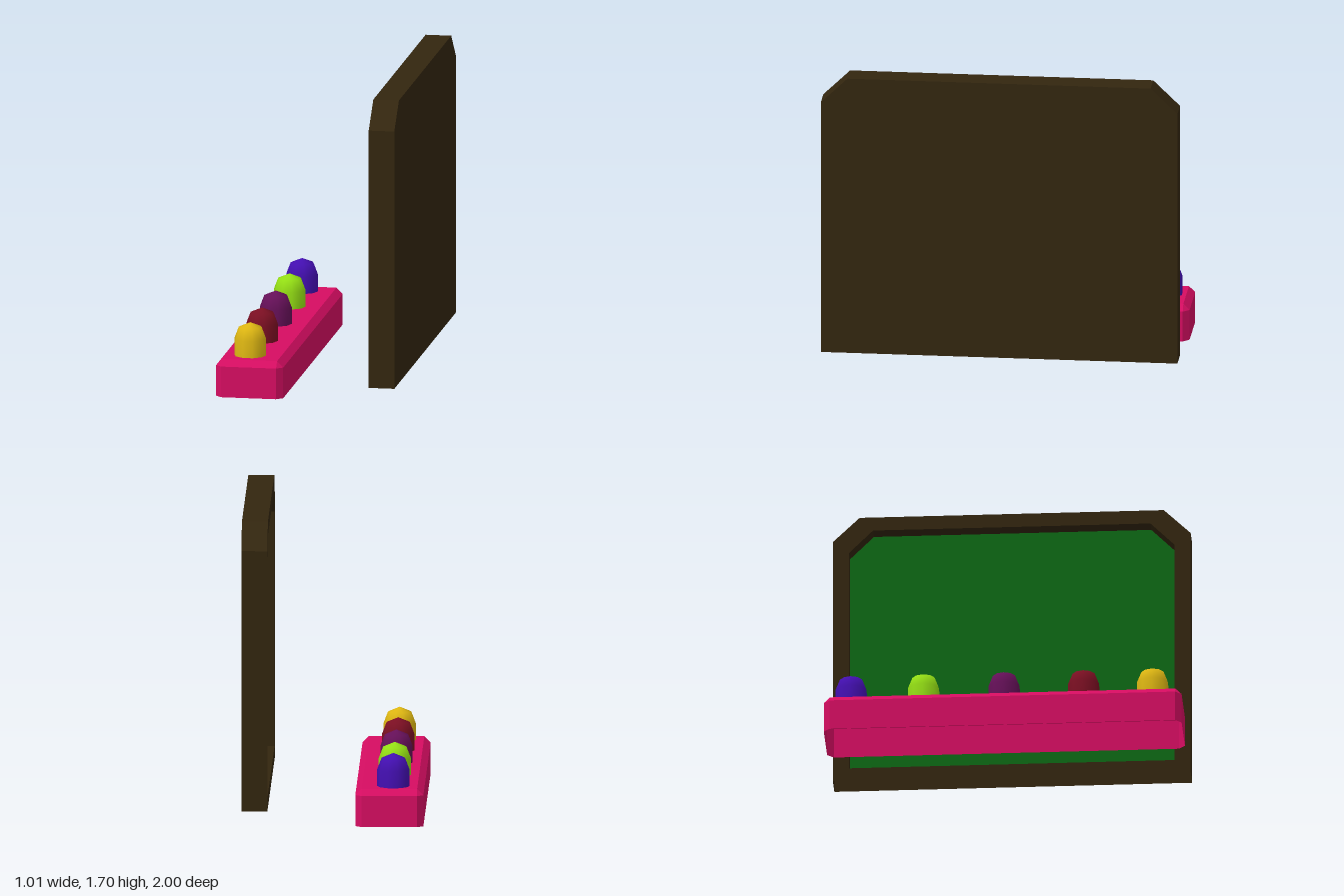
import * as THREE from 'three';

const material = (color, flatShading = true) =>
  new THREE.MeshStandardMaterial({ color, flatShading, side: THREE.DoubleSide });

// Surface from convex polygons (arrays of Vector3), each split as a fan
function surface(name, polygons, color) {
  const points = [];
  const triangle = new THREE.Triangle();
  for (const p of polygons) {
    for (let i = 1; i < p.length - 1; i++) {
      triangle.set(p[0], p[i], p[i + 1]);
      if (triangle.getArea() > 1e-8) points.push(p[0], p[i], p[i + 1]);
    }
  }
  const geometry = new THREE.BufferGeometry().setFromPoints(points);
  geometry.computeVertexNormals();
  const mesh = new THREE.Mesh(geometry, material(color));
  mesh.name = name;
  return mesh;
}

// Band of quads between two closed loops, starting at edge `from`
function band(a, b, from = 0) {
  const quads = [];
  for (let i = from; i < a.length; i++) {
    const j = (i + 1) % a.length;
    quads.push([a[i], b[i], b[j], a[j]]);
  }
  return quads;
}

// Upright board: hollow frame, open underneath, with a recessed panel facing -x
function createBoard() {
  const loop = (x, z, zTop, bottom, shoulder, top) =>
    [[z, bottom], [-z, bottom], [-z, shoulder], [-zTop, top], [zTop, top], [z, shoulder]]
      .map(([pz, py]) => new THREE.Vector3(x, py, pz));
  const back = loop(0.505, 1, 0.85, 0.085, 1.555, 1.7);
  const front = loop(0.36, 1, 0.85, 0.085, 1.555, 1.7);
  const opening = loop(0.36, 0.91, 0.775, 0.16, 1.485, 1.62);
  const recess = loop(0.445, 0.91, 0.775, 0.16, 1.485, 1.62);

  const board = new THREE.Group();
  board.name = 'board';
  board.add(
    surface('boardFrame', [
      back,
      ...band(back, front, 1), // outer walls, none at the bottom
      ...band(front, opening),
      ...band(opening, recess),
    ], 0x33260f),
    surface('boardPanel', [[...recess].reverse()], 0x0d6a14),
  );
  return board;
}

// Long tray with bevelled edges, open underneath
function createTray() {
  const cx = -0.32, w = 0.19, d = 1, c = 0.035;
  const loop = (y, hw, hd, cut) =>
    [[hw, hd - cut], [hw, cut - hd], [hw - cut, -hd], [cut - hw, -hd],
      [-hw, cut - hd], [-hw, hd - cut], [cut - hw, hd], [hw - cut, hd]]
      .map(([x, z]) => new THREE.Vector3(cx + x, y, z));
  const bottom = loop(0, w, d, c);
  const shoulder = loop(0.175, w, d, c);
  const top = loop(0.21, w - c, d - c, 0);
  const up = (a, b) => band(a, b).map((q) => q.reverse());
  return surface('tray', [
    ...up(bottom, shoulder),
    ...up(shoulder, top),
    [top[0], top[2], top[4], top[6]],
  ], 0xd60d62);
}

// Domed buttons, their open ends sunk slightly through the tray top
function createButtons() {
  const buttons = new THREE.Group();
  buttons.name = 'buttons';
  const profile = [[0.09, 0.19], [0.09, 0.305], [0.065, 0.37], [0, 0.397]]
    .map(([r, y]) => new THREE.Vector2(r, y));
  const geometry = new THREE.LatheGeometry(profile, 10, Math.PI / 2);
  const kinds = [
    ['blueButton', -0.855, 0x430fb0],
    ['greenButton', -0.45, 0x93dd14],
    ['purpleButton', 0, 0x651058],
    ['redButton', 0.445, 0x7a0f22],
    ['yellowButton', 0.83, 0xdcb512],
  ];
  for (const [name, z, color] of kinds) {
    const button = new THREE.Mesh(geometry, material(color, false));
    button.name = name;
    button.position.set(-0.34, 0, z);
    buttons.add(button);
  }
  return buttons;
}

export function createModel() {
  const model = new THREE.Group();
  model.name = 'boardAndButtonTray';
  model.add(createBoard(), createTray(), createButtons());
  return model;
}
